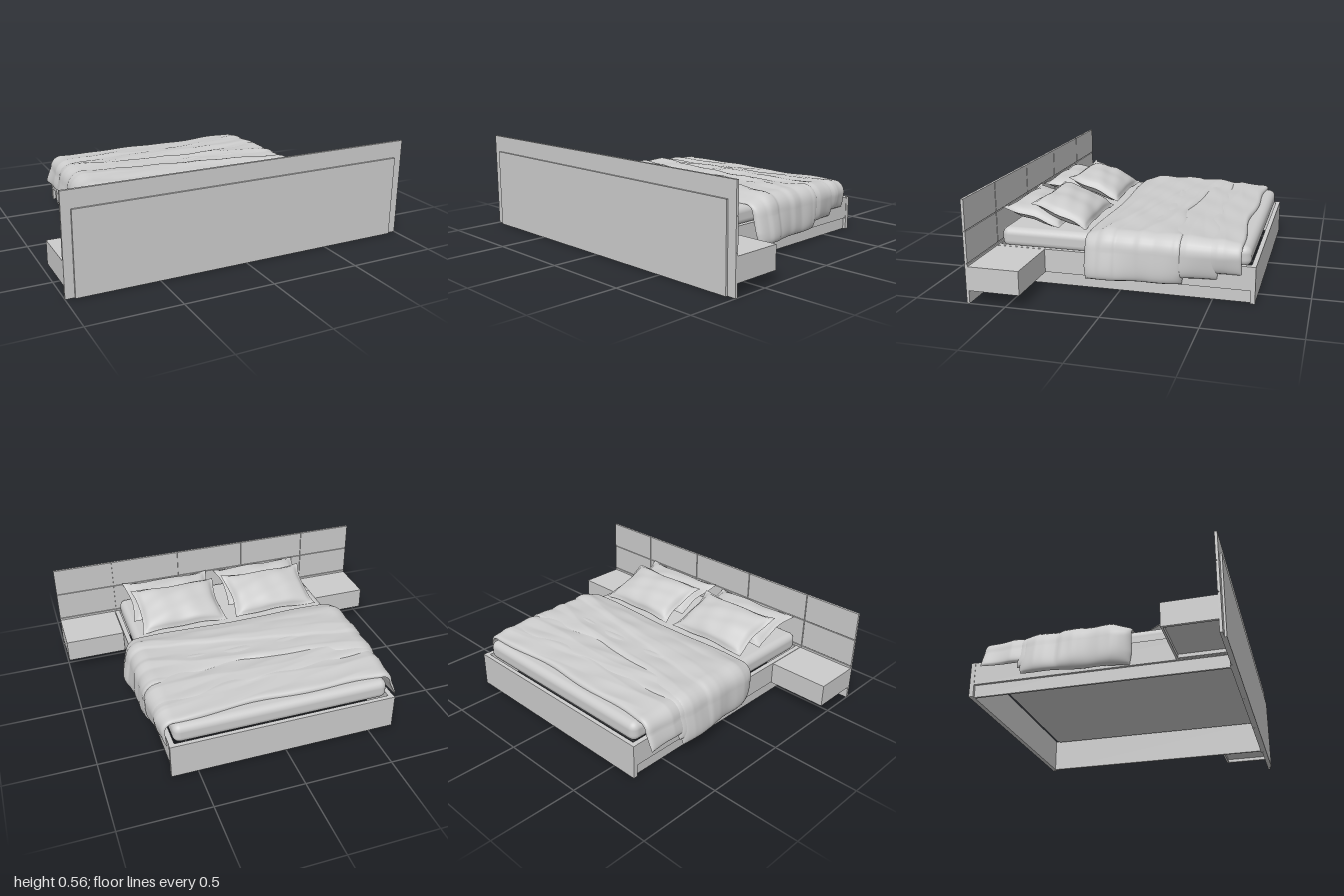
import * as THREE from 'three';
import { mergeGeometries } from 'three/addons/utils/BufferGeometryUtils.js';
import { RoundedBoxGeometry } from 'three/addons/geometries/RoundedBoxGeometry.js';

const grey = new THREE.MeshStandardMaterial({ color: 0xcccccc });
grey.name = 'plain grey';

const MATTRESS_TOP = 0.292;

// Smooth grid surface from f(u, v) with u, v in -1..1; flip reverses the facing
function surface(f, nu, nv, flip) {
  const pos = [], idx = [];
  for (let j = 0; j <= nv; j++)
    for (let i = 0; i <= nu; i++) pos.push(...f((2 * i) / nu - 1, (2 * j) / nv - 1));
  for (let j = 0; j < nv; j++)
    for (let i = 0; i < nu; i++) {
      const a = j * (nu + 1) + i, b = a + 1, c = a + nu + 1, d = c + 1;
      if (flip) idx.push(a, b, c, b, d, c);
      else idx.push(a, c, b, b, c, d);
    }
  const g = new THREE.BufferGeometry();
  g.setAttribute('position', new THREE.Float32BufferAttribute(pos, 3));
  g.setIndex(idx);
  g.computeVertexNormals();
  return g;
}

function add(parent, name, geometry) {
  const m = new THREE.Mesh(geometry, grey);
  m.name = name;
  parent.add(m);
  return m;
}

// Box given by its limits
function box(parent, name, x0, x1, y0, y1, z0, z1) {
  const m = add(parent, name, new THREE.BoxGeometry(x1 - x0, y1 - y0, z1 - z0));
  m.position.set((x0 + x1) / 2, (y0 + y1) / 2, (z0 + z1) / 2);
  return m;
}

// Plump pillow with a flat flange, tilted in place and resting flat on the mattress
function pillowGeometry({ a, b, h, tilt, x0, y0, z0, seed }) {
  const cos = Math.cos(tilt), sin = Math.sin(tilt);
  const side = (s) => (u, v) => {
    const x = a * u * (1 - 0.09 * (1 - v * v) * u * u);
    const z = b * v * (1 - 0.08 * (1 - u * u) * v * v);
    const p = Math.max(0, 1 - (u / 0.92) ** 2), q = Math.max(0, 1 - (v / 0.92) ** 2);
    const plump = Math.pow(p * q, 0.4);
    const crease = 0.005 * Math.sin(7 * u + 4 * v + seed) * Math.sin(5 * v - 3 * u + seed * 2) * plump;
    const rim = 0.004 * (1 - Math.max(u ** 8, v ** 8));
    const wave = 0.005 * Math.sin(6 * u + seed) * v * v + 0.005 * Math.sin(5 * v + seed) * u * u;
    const y = s * (h * plump + rim) + crease + wave;
    const rest = MATTRESS_TOP + 0.004 + s * 0.002;
    return [x0 + x, Math.max(rest, y0 + y * cos + z * sin), z0 + z * cos - y * sin];
  };
  return mergeGeometries([surface(side(1), 44, 36, false), surface(side(-1), 44, 36, true)]);
}

// Draped blanket layer between two edge curves, closed underneath
function blanketGeometry({ front, back, hem, thick, flare, slant, seed }) {
  const W = 0.652, top = MATTRESS_TOP, r = 0.05;
  const flat = W - r, arc = (Math.PI / 2) * r, len = flat + arc + (top - r - hem);
  const sheet = (outer) => (u0, v0) => {
    const u = Math.sin((u0 * Math.PI) / 2) * 0.4 + u0 * 0.6;
    const v = Math.sin((v0 * Math.PI) / 2);
    const d = Math.abs(u) * len, sg = Math.sign(u) || 1;
    let x, y, nx = 0, ny = 1;
    if (d < flat) { x = d; y = top; }
    else if (d < flat + arc) {
      const t = (d - flat) / r;
      nx = Math.sin(t); ny = Math.cos(t);
      x = flat + r * nx; y = top - r + r * ny;
    } else { x = W; y = top - r - (d - flat - arc); nx = 1; ny = 0; }
    const s = THREE.MathUtils.clamp((u * len) / flat, -1, 1);
    const drop = Math.max(0, (top - r - y) / 0.17);
    const inset = 0.03 * Math.max(0, drop - 0.6);
    const z = THREE.MathUtils.lerp(front(s) - inset, back(s) + inset, (v + 1) / 2);
    // The drop flares forward on the left and backward on the right
    x += drop * (flare + 0.09 * sg * (z + 0.1) + 0.006 * Math.sin(z * 22 + seed));
    if (outer) {
      const edge = Math.sqrt(Math.max(0, (1 - u ** 20) * (1 - v ** 12)));
      // Long diagonal folds, fine wrinkles and one broad overlap step
      const k = z - slant * s;
      const ridge = (f, p) => 1 - Math.abs(Math.sin(k * f + p));
      const folds = 0.008 * (ridge(15, seed + 0.5 * Math.sin(s * 3 + seed)) - 0.4)
        + 0.004 * (ridge(31, seed * 2 + s * 2) - 0.4) * Math.sin(s * 4 + seed)
        + 0.002 * Math.sin(s * 13 + z * 19 + seed);
      const step = 0.006 * THREE.MathUtils.smoothstep(z + 0.09 - 0.11 * s, -0.008, 0.008)
        * (1 - THREE.MathUtils.smoothstep(z, -0.02, 0.16));
      // Thinner towards the pillows
      const taper = 1 - 0.5 * ny * THREE.MathUtils.smoothstep(z, 0.05, 0.18);
      const o = edge * taper * (thick + folds + step);
      x += nx * o; y += ny * o;
    }
    return [sg * x, y, z];
  };
  return mergeGeometries([surface(sheet(true), 130, 80, true), surface(sheet(false), 130, 40, false)]);
}

export function createModel() {
  const model = new THREE.Group();
  model.name = 'bed';

  // Headboard: back plate, backing board and a grid of front panels
  const head = new THREE.Group();
  head.name = 'headboard';
  model.add(head);
  box(head, 'headboardBackPlate', -0.95, 0.95, 0, 0.46, 0.711, 0.722);
  box(head, 'headboardBacking', -1, 1, 0, 0.555, 0.703, 0.711);
  const cols = [-1, -0.655, -0.225, 0.21, 0.64, 1], rows = [0, 0.215, 0.388, 0.555], gap = 0.0025;
  for (let i = 0; i < 5; i++)
    for (let j = 0; j < 3; j++)
      box(head, 'headboardPanel', cols[i] + (i ? gap : 0), cols[i + 1] - (i < 4 ? gap : 0),
        rows[j] + (j ? gap : 0), rows[j + 1] - (j < 2 ? gap : 0), 0.696, 0.703);

  // Frame: footboard, head rail, side rails on a recessed inner wall
  box(model, 'footboard', -0.647, 0.647, 0, 0.2, -0.722, -0.697);
  box(model, 'headRail', -0.647, 0.647, 0, 0.2, 0.689, 0.696);
  for (const s of [-1, 1]) {
    const rail = box(model, 'sideRail', 0.63, 0.645, 0.07, 0.2, -0.697, 0.689);
    const wall = box(model, 'plinthWall', 0.617, 0.63, 0, 0.2, -0.697, 0.689);
    rail.position.x *= s;
    wall.position.x *= s;

    // Bedside cabinet, hollow underneath
    const cabinet = new THREE.Group();
    cabinet.name = 'nightstand';
    model.add(cabinet);
    const parts = [
      box(cabinet, 'nightstandTop', 0.648, 1, 0.185, 0.2, 0.42, 0.696),
      box(cabinet, 'nightstandInnerSide', 0.648, 0.663, 0.07, 0.185, 0.432, 0.696),
      box(cabinet, 'nightstandOuterSide', 0.985, 1, 0.07, 0.185, 0.432, 0.696),
      box(cabinet, 'nightstandBase', 0.663, 0.985, 0.09, 0.1, 0.432, 0.696),
      box(cabinet, 'drawerFront', 0.648, 1, 0.07, 0.185, 0.42, 0.432),
    ];
    for (const p of parts) p.position.x *= s;
  }

  // Mattress, raised high inside the open frame
  const mattress = add(model, 'mattress', new RoundedBoxGeometry(1.23, 0.112, 1.378, 5, 0.04));
  mattress.position.set(0, MATTRESS_TOP - 0.056, -0.002);

  // Blanket folded back in three overlapping layers
  add(model, 'upperBlanket', blanketGeometry({
    front: (s) => 0.18 - 0.01 * Math.cos(s * 4),
    back: (s) => -0.29 + 0.035 * s - 0.095 * s * s + 0.012 * Math.sin(s * 9) * (1 - s * s),
    hem: 0.074, thick: 0.041, flare: 0.024, slant: 0.11, seed: 0.5 }));
  add(model, 'middleBlanket', blanketGeometry({
    front: () => -0.1, back: (s) => -0.48 - 0.05 * s + 0.006 * Math.sin(s * 7),
    hem: 0.112, thick: 0.034, flare: 0.026, slant: -0.05, seed: 2.1 }));
  add(model, 'lowerBlanket', blanketGeometry({
    front: () => -0.28, back: (s) => -0.625 + 0.01 * Math.sin(s * 6) - 0.02 * s * s,
    hem: 0.148, thick: 0.027, flare: 0.03, slant: -0.03, seed: 4 }));

  // Two leaning pillows on each side
  for (const s of [-1, 1]) {
    add(model, 'rearPillow', pillowGeometry({
      a: 0.28, b: 0.17, h: 0.05, tilt: 0.27, x0: s * 0.305, y0: 0.348, z0: 0.522, seed: 1 + s }));
    add(model, 'frontPillow', pillowGeometry({
      a: 0.268, b: 0.17, h: 0.057, tilt: 0.38, x0: s * 0.295, y0: 0.363, z0: 0.368, seed: 3.2 + s }));
  }
  return model;
}
